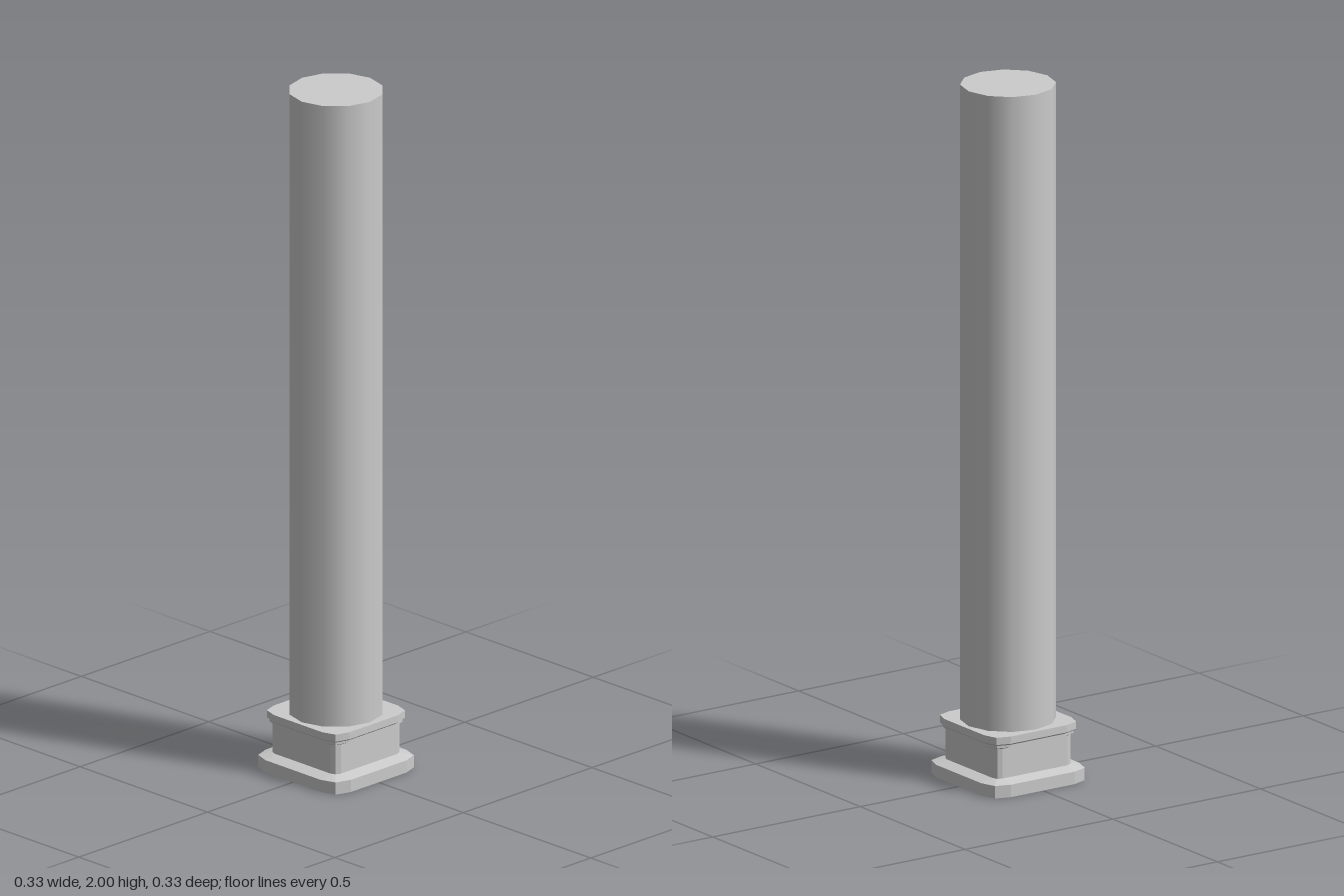
import * as THREE from 'three';

// Twelve-point rounded square: half-width w, side end s, corner point c
function ring(w, s, c) {
  const pts = [];
  for (let q = 0; q < 4; q++) {
    for (const [x, z] of [[w, -s], [w, s], [c, c]]) {
      // quarter turns of the same three points
      const a = q * Math.PI / 2;
      pts.push([x * Math.cos(a) - z * Math.sin(a), x * Math.sin(a) + z * Math.cos(a)]);
    }
  }
  return pts;
}

// Stack of rings [y, w, s, c], closed at both ends
function loft(levels) {
  const pos = [];
  const rings = levels.map(([y, w, s, c]) => ring(w, s, c).map(([x, z]) => [x, y, z]));
  const tri = (a, b, c) => pos.push(...a, ...b, ...c);
  const n = rings[0].length;
  const last = rings[rings.length - 1];
  const bottom = [0, levels[0][0], 0];
  const top = [0, levels[levels.length - 1][0], 0];
  for (let i = 0; i < n; i++) {
    const j = (i + 1) % n;
    for (let k = 0; k + 1 < rings.length; k++) {
      const lo = rings[k], hi = rings[k + 1];
      tri(lo[i], hi[i], hi[j]);
      tri(lo[i], hi[j], lo[j]);
    }
    tri(bottom, rings[0][i], rings[0][j]);
    tri(top, last[j], last[i]);
  }
  const geo = new THREE.BufferGeometry();
  geo.setAttribute('position', new THREE.Float32BufferAttribute(pos, 3));
  geo.computeVertexNormals();
  return geo;
}

export function createModel() {
  const group = new THREE.Group();
  const smooth = new THREE.MeshStandardMaterial({ color: 0xcccccc });
  const flat = new THREE.MeshStandardMaterial({ color: 0xcccccc, flatShading: true });
  const add = (name, geometry, material) => {
    const mesh = new THREE.Mesh(geometry, material);
    mesh.name = name;
    group.add(mesh);
    return mesh;
  };

  // Foot, neck and stepped collar in one moulded pedestal
  add('pedestal', loft([
    [0, 0.167, 0.108, 0.152],
    [0.036, 0.167, 0.108, 0.152],
    [0.045, 0.13, 0.11, 0.124],
    [0.131, 0.13, 0.11, 0.124],
    [0.135, 0.142, 0.092, 0.13],
    [0.142, 0.142, 0.092, 0.13],
    [0.147, 0.148, 0.095, 0.135],
    [0.168, 0.148, 0.095, 0.135],
  ]), flat);

  // Tall twelve-sided shaft, smooth around
  add('shaft', new THREE.CylinderGeometry(0.133, 0.133, 1.832, 12), smooth)
    .position.y = 0.168 + 1.832 / 2;

  return group;
}
